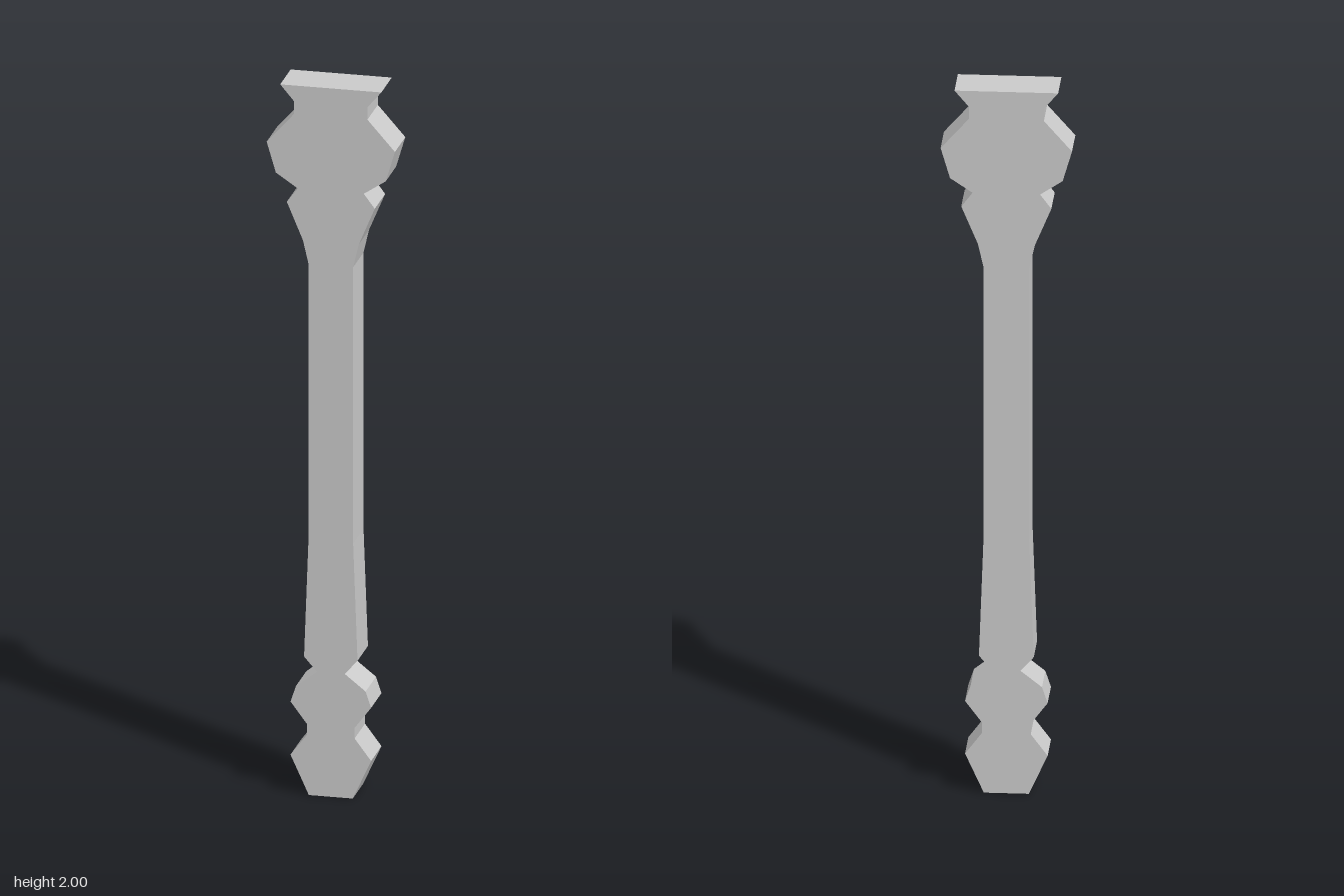
import * as THREE from 'three';

// Half-width and height of the turned outline, from foot to top
const PROFILE = [
  [0.06, 0], [0.11, 0.11], [0.065, 0.17], [0.065, 0.2],        // foot
  [0.11, 0.26], [0.095, 0.305], [0.038, 0.35], [0.073, 0.39],  // lower bead and neck
  [0.061, 0.72], [0.061, 1.5], [0.076, 1.565],                 // long shaft
  [0.12, 1.67], [0.09, 1.71], [0.15, 1.75], [0.175, 1.835],    // upper collar and bulb
  [0.1, 1.92], [0.1, 1.955], [0.138, 2],                       // flared top
];
const DEPTH = 0.12;

export function createModel() {
  const group = new THREE.Group();
  group.name = 'flatBaluster';

  // Mirror the half outline to close the silhouette
  const right = PROFILE.map(([x, y]) => new THREE.Vector2(x, y));
  const left = PROFILE.map(([x, y]) => new THREE.Vector2(-x, y)).reverse();
  const outline = new THREE.Shape([...right, ...left]);

  // Flat board cut to the silhouette
  const geometry = new THREE.ExtrudeGeometry(outline, { depth: DEPTH, bevelEnabled: false });
  geometry.translate(0, 0, -DEPTH / 2);
  const baluster = new THREE.Mesh(
    geometry,
    new THREE.MeshStandardMaterial({ color: 0xcccccc, flatShading: true }),
  );
  baluster.name = 'baluster';
  group.add(baluster);
  return group;
}
